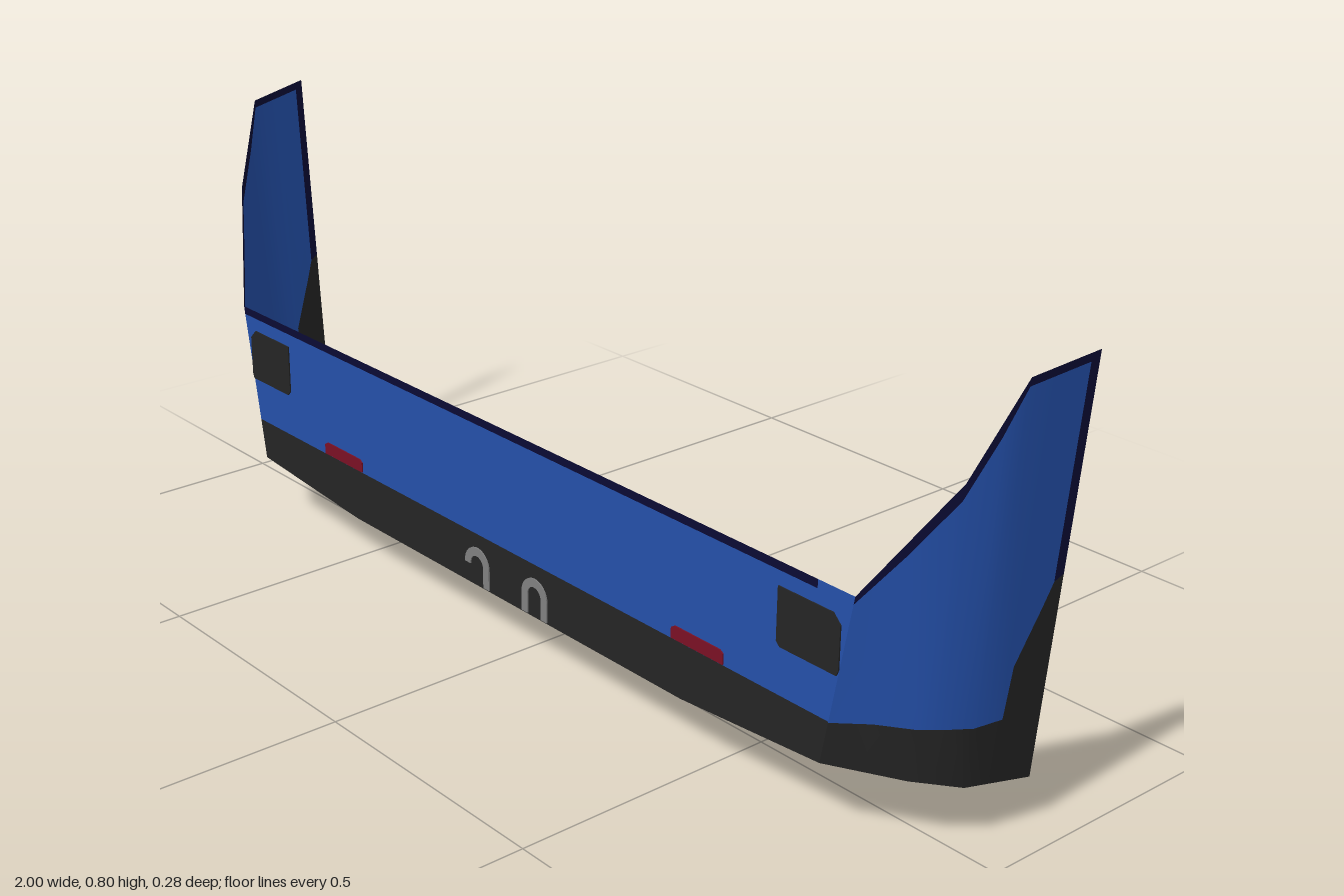
import * as THREE from 'three';

const paint = (name, color) =>
  new THREE.MeshStandardMaterial({ name, color, side: THREE.DoubleSide });

// Surface through a grid of points, given as rows of equal length
function sheet(rows, flat = false) {
  const n = rows[0].length, index = [];
  for (let i = 0; i < rows.length - 1; i++) {
    for (let j = 0; j < n - 1; j++) {
      const a = i * n + j, b = a + 1, c = a + n, d = c + 1;
      index.push(a, c, b, b, c, d);
    }
  }
  let geo = new THREE.BufferGeometry();
  geo.setAttribute('position', new THREE.Float32BufferAttribute(rows.flat(2), 3));
  geo.setIndex(index);
  if (flat) geo = geo.toNonIndexed();
  geo.computeVertexNormals();
  return geo;
}

// Corner wing: bottom and top of each upright station, front to back
const FRONT = 0.136;
const wingBottom = [[0.76, 0.13, FRONT], [0.87, 0.12, 0.06], [0.92, 0.105, -0.01], [0.94, 0.085, -0.138]];
const wingTop = [[0.815, 0.43, FRONT], [0.935, 0.625, 0.053], [0.98, 0.78, -0.015], [1, 0.798, -0.138]];

function along(list, t) {
  const i = Math.min(Math.floor(t), 2), f = t - i;
  return list[i].map((v, k) => v + (list[i + 1][k] - v) * f);
}

// Point on the wing at station t and height y
function wingPoint(side, t, y) {
  const b = along(wingBottom, t), p = along(wingTop, t);
  const f = (y - b[1]) / (p[1] - b[1]);
  return [side * (b[0] + (p[0] - b[0]) * f), y, b[2] + (p[2] - b[2]) * f];
}

// Station, top of the dark skirt, depth of the edge trim
const wingBands = [
  [0, 0.205, 0.014], [0.5, 0.212, 0.026], [1, 0.212, 0.028], [1.6, 0.21, 0.028], [2, 0.21, 0.014],
  [2.42, 0.21, 0.014], [2.46, 0.3, 0.014], [2.62, 0.35, 0.014], [2.75, 0.39, 0.014], [2.87, 0.43, 0.014],
];

export function createModel() {
  const blue = paint('blue paint', 0x2450aa);
  const dark = paint('dark plastic', 0x242424);
  const navy = paint('navy trim', 0x0b0b34);
  const red = paint('red reflector', 0x7a1024);
  const grey = paint('grey metal', 0x808080);

  const model = new THREE.Group();
  model.name = 'bumper';
  const add = (name, geo, mat, parent = model) => {
    const mesh = new THREE.Mesh(geo, mat);
    mesh.name = name;
    parent.add(mesh);
    return mesh;
  };

  // Front panel: skirt, painted face and trim along the top
  const edge = (y) => wingPoint(1, 0, y)[0];
  const line = (xs, ys) => xs.map((x, i) => [x, ys[i] ?? ys[0], FRONT]);
  const across = (y) => line([-edge(y), -0.45, 0.45, edge(y)], [y]);
  add('frontSkirt', sheet([
    line([-0.76, -0.45, 0.45, 0.76], [0.13, 0.107, 0.107, 0.13]), across(0.207)]), dark);
  add('frontFace', sheet([across(0.207), across(0.415)]), blue);
  add('frontTrim', sheet([line([-edge(0.415), 0.74], [0.415]), line([-0.815, 0.74], [0.43])]), navy);
  add('frontTrimEnd', sheet([line([0.74, edge(0.415)], [0.415]), line([0.74, 0.815], [0.43])]), blue);

  // Curved wings at both ends
  for (const side of [-1, 1]) {
    const wing = new THREE.Group();
    wing.name = side > 0 ? 'leftWing' : 'rightWing';
    model.add(wing);
    const curve = (height) => wingBands.map((b) => wingPoint(side, b[0], height(b)));
    const bottom = (b) => along(wingBottom, b[0])[1];
    const top = (b) => along(wingTop, b[0])[1];
    const skirt = (b) => b[1];
    const trim = (b) => top(b) - b[2];
    add('wingSkirt', sheet([curve(bottom), curve(skirt)]), dark, wing);
    add('wingFace', sheet([curve(skirt), curve(trim)]), blue, wing);
    add('wingTrim', sheet([curve(trim), curve(top)]), navy, wing);

    // Strip along the rear edge
    const strip = (y0, y1) => sheet([y0, y1].map((y) =>
      [2.87, 3].map((t, i) => wingPoint(side, t, y[i]))));
    const low = [along(wingBottom, 2.87)[1], wingBottom[3][1]];
    const high = [along(wingTop, 2.87)[1], wingTop[3][1]];
    add('rearEdgeSkirt', strip(low, [0.43, 0.44]), dark, wing);
    add('rearEdgeTrim', strip([0.43, 0.44], high), navy, wing);
  }

  // Faceted floor dropping to a low point at the rear centre
  const floorRow = (z, [ex, ey], [mx, my], cy) =>
    [[-ex, ey, z], [-mx, my, z], [0, cy, z], [mx, my, z], [ex, ey, z]];
  add('floor', sheet([
    floorRow(FRONT, [0.76, 0.13], [0.45, 0.107], 0.107),
    floorRow(0.06, [0.87, 0.12], [0.6, 0.085], 0.083),
    floorRow(-0.01, [0.92, 0.105], [0.72, 0.057], 0.057),
    floorRow(-0.138, [0.94, 0.085], [0.68, 0.085], 0),
  ], true), dark);

  // Thin plates set through the panel so they show on both faces
  const THICK = 0.005;
  const plate = (name, shape, mat, x, y) => {
    const geo = new THREE.ExtrudeGeometry(shape, { depth: THICK, bevelEnabled: false, curveSegments: 8 });
    add(name, geo, mat).position.set(x, y, FRONT - THICK / 2);
  };
  const polygon = (pts) => new THREE.Shape(pts.map(([x, y]) => new THREE.Vector2(x, y)));

  for (const side of [-1, 1]) {
    const lamp = [[-0.062, -0.05], [0.056, -0.05], [0.064, -0.042], [0.064, 0.05], [-0.05, 0.05], [-0.066, 0.034], [-0.066, -0.04]];
    plate('lampRecess', polygon(lamp.map(([x, y]) => [-side * x, y])), dark, side * 0.725, 0.34);
    const marker = [[-0.06, -0.011], [0.06, -0.011], [0.06, 0.008], [0.052, 0.013], [-0.052, 0.013], [-0.06, 0.008]];
    plate('reflector', polygon(marker), red, side * 0.487, 0.22);

    // Tow hook: an arch with one leg shorter on the right side
    const R = 0.034, r = 0.018, leg = side > 0 ? -0.037 : -0.002;
    const hook = new THREE.Shape();
    hook.moveTo(R, -0.037);
    hook.lineTo(R, 0);
    hook.absarc(0, 0, R, 0, Math.PI, false);
    hook.lineTo(-R, leg);
    hook.lineTo(-r, leg);
    hook.lineTo(-r, 0);
    hook.absarc(0, 0, r, Math.PI, 0, true);
    hook.lineTo(r, -0.037);
    plate('towHook', hook, grey, side * 0.08, 0.147);
  }

  return model;
}
